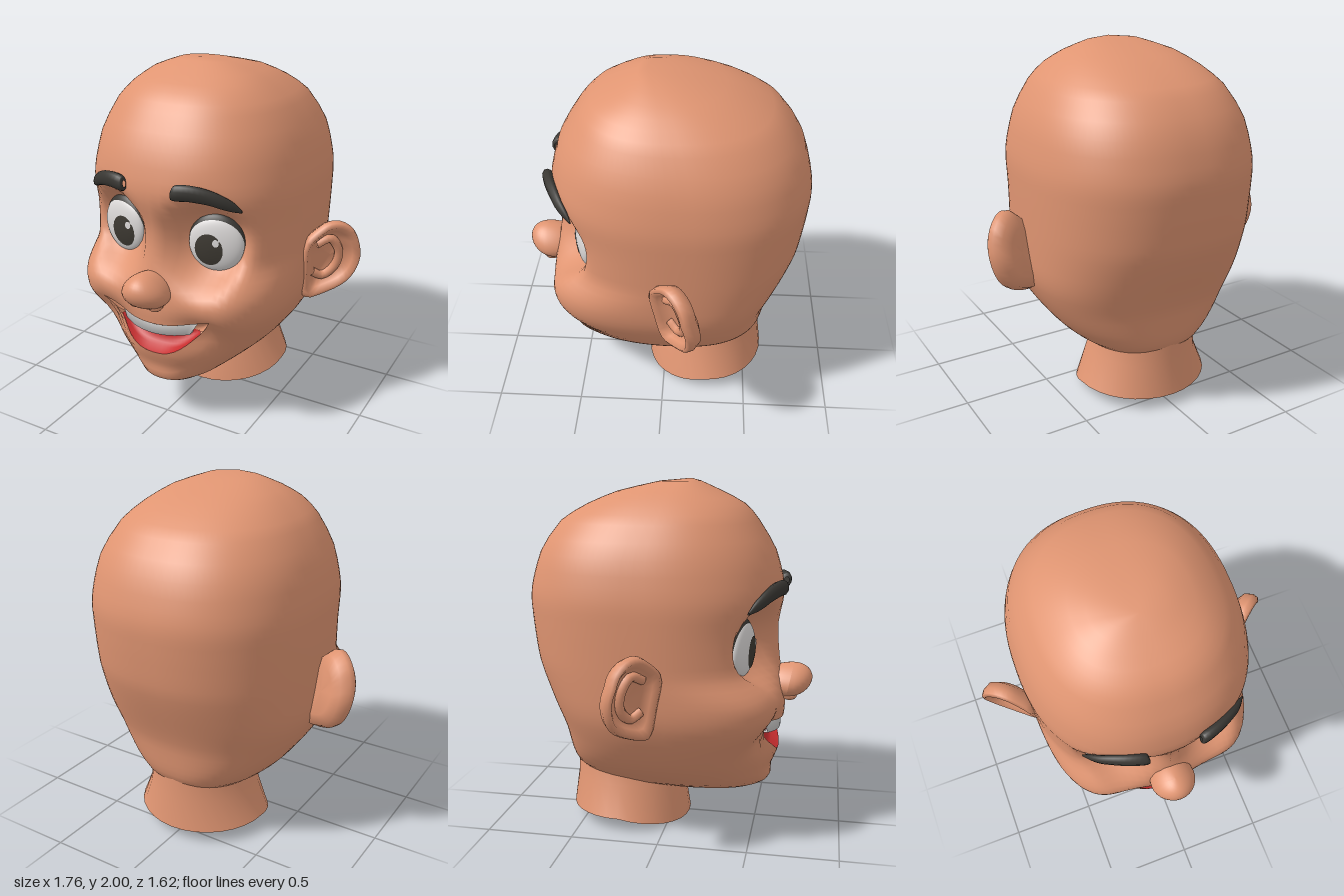
import * as THREE from 'three';
import { mergeGeometries, mergeVertices } from 'three/addons/utils/BufferGeometryUtils.js';

const material = (name, color) => new THREE.MeshStandardMaterial({ name, color, side: THREE.DoubleSide });
const V = (x, y, z) => new THREE.Vector3(x, y, z);
const N = 2.35; // roundness of the head's horizontal sections
const COLS = 96;
const MOUTH = Math.PI / 6; // angle from the face centre to a mouth corner

// Head sections: y, half width, front z, z of the widest point, back z
const SECTIONS = [
  [2.0, 0, 0.1, 0.1, 0.1], [1.985, 0.16, 0.15, 0.05, -0.08], [1.93, 0.31, 0.27, 0, -0.32],
  [1.86, 0.41, 0.41, -0.03, -0.49], [1.77, 0.505, 0.485, -0.06, -0.645], [1.6, 0.595, 0.59, -0.1, -0.755],
  [1.38, 0.64, 0.645, -0.1, -0.815], [1.2, 0.638, 0.605, -0.1, -0.8], [1.0, 0.633, 0.62, -0.1, -0.775],
  [0.85, 0.627, 0.645, -0.1, -0.72], [0.73, 0.618, 0.665, -0.1, -0.67], [0.6, 0.565, 0.65, -0.1, -0.62],
  [0.45, 0.475, 0.635, -0.1, -0.605], [0.36, 0.385, 0.585, -0.08, -0.585], [0.27, 0.27, 0.59, -0.02, -0.5],
  [0.22, 0.17, 0.5, 0.1, -0.25], [0.18, 0.08, 0.25, 0.1, 0], [0.17, 0, 0.1, 0.1, 0.1],
];

function rawSection(y) {
  let i = 0;
  while (i < SECTIONS.length - 2 && y < SECTIONS[i + 1][0]) i++;
  const a = SECTIONS[i], b = SECTIONS[i + 1];
  const f = THREE.MathUtils.clamp((a[0] - y) / (a[0] - b[0]), 0, 1);
  return a.map((v, k) => v + (b[k] - v) * f);
}

// Section softened over its neighbours
function section(y) {
  const d = Math.max(0, Math.min(0.06, (2 - y) * 0.2, (y - 0.17) * 0.2));
  const up = rawSection(y + d), low = rawSection(y - d);
  return rawSection(y).map((v, k) => (up[k] + 2 * v + low[k]) / 4);
}

// Eye sockets and mouth sides go in, cheeks come out
function relief(x, y) {
  const ax = Math.abs(x);
  const bump = (cx, cy, rx, ry) => ((ax - cx) / rx) ** 2 + ((y - cy) / ry) ** 2;
  const socket = bump(0.28, 1.11, ax > 0.28 ? 0.165 : 0.19, 0.22);
  return -0.175 * Math.exp(-socket * socket) + 0.02 * Math.exp(-bump(0.44, 0.81, 0.15, 0.14))
    - 0.075 * Math.exp(-bump(0.28, 0.61, 0.14, 0.12));
}

// Front of the face, squarer at the cheeks
function faceZ(x, y) {
  const [, w, front, mid] = section(y);
  const { smoothstep } = THREE.MathUtils;
  const n = N + 1.05 * smoothstep(y, 0.42, 0.75) * (1 - smoothstep(y, 0.8, 1.0));
  const q = w > 0 ? Math.max(0, 1 - Math.abs(x / w) ** n) : 0;
  return mid + (front - mid) * q ** (1 / n) + relief(x, y) * Math.min(1, 2.5 * Math.sqrt(q));
}

function headPoint(angle, y) {
  const [, w, , mid, back] = section(y);
  const s = Math.sin(angle), c = Math.cos(angle);
  const x = w * Math.sign(s) * Math.abs(s) ** (2 / N);
  return V(x, y, c > 0 ? faceZ(x, y) : mid - (mid - back) * Math.abs(c) ** (2 / N));
}

// Skin over a list of rings with equal point counts
function loft(rings, closed = true) {
  const n = rings[0].length, index = [];
  for (let i = 0; i < rings.length - 1; i++) {
    for (let j = 0; j < (closed ? n : n - 1); j++) {
      const k = (j + 1) % n, a = i * n + j, b = i * n + k, c = b + n, d = a + n;
      index.push(a, d, c, a, c, b);
    }
  }
  const geo = new THREE.BufferGeometry().setFromPoints(rings.flat());
  geo.setIndex(index);
  geo.computeVertexNormals();
  return geo;
}

function mirror(geo) {
  const m = geo.clone().scale(-1, 1, 1), a = m.index.array;
  for (let i = 0; i < a.length; i += 3) [a[i], a[i + 1]] = [a[i + 1], a[i]];
  m.computeVertexNormals();
  return m;
}

// Lip lines, t = 0 at the centre and 1 at the corners
const lip = (t, upper) => {
  if (t > 1) return 0.6 + 0.12 * (1 - THREE.MathUtils.smoothstep(t, 1, 2.2));
  return upper ? 0.655 + 0.065 * t * t : 0.46 + 0.26 * t ** 2.3;
};

function headRing(row, upper) {
  return Array.from({ length: COLS }, (_, j) => {
    let a = (j / COLS) * Math.PI * 2;
    if (a > Math.PI) a -= Math.PI * 2;
    const fade = Math.max(0, 1 - Math.abs(row - 0.6) / 0.35);
    return headPoint(a, row + (lip(Math.abs(a) / MOUTH, upper) - 0.6) * fade);
  });
}

function headGeometry() {
  const top = [2, 1.985, 1.96, 1.93, 1.895, 1.86, 1.815, 1.77, 1.68, 1.6, 1.52, 1.45];
  for (let y = 1.4; y > 0.62; y -= 0.04) top.push(y);
  top.push(0.6);
  const low = [0.6, 0.56, 0.52, 0.48, 0.44, 0.4, 0.36, 0.315, 0.27, 0.245, 0.22, 0.2, 0.18, 0.17];
  const both = mergeGeometries([loft(top.map(y => headRing(y, true))), loft(low.map(y => headRing(y, false)))]);
  both.deleteAttribute('normal');
  const geo = mergeVertices(both, 1e-4);
  geo.computeVertexNormals();
  return geo;
}

// Hollow behind the lips, from the line high(t) down to low(t)
function mouthPatch(reach, high, low) {
  const rings = [];
  for (let i = 0; i <= 8; i++) {
    rings.push(Array.from({ length: 25 }, (_, j) => {
      const t = reach * (j / 12 - 1), at = Math.abs(t);
      const y = THREE.MathUtils.lerp(high(at), low(at), i / 8);
      const v = THREE.MathUtils.clamp((lip(at, true) - y) / (lip(at, true) - lip(at, false) + 1e-6), 0, 1);
      const p = headPoint(t * MOUTH, y);
      p.z -= 0.1 * Math.sqrt(Math.max(0, Math.sin(Math.PI * v))) * (1 - t * t);
      return p;
    }));
  }
  return loft(rings, false);
}

function teethGeometry() {
  // half width, y at the centre, y rise at the ends, inset
  const rows = [[0.265, 0.675, 0.03, 0.07], [0.265, 0.675, 0.03, 0.02], [0.205, 0.585, 0.015, 0.018], [0.2, 0.585, 0.015, 0.075]];
  return loft(rows.map(([w, y, rise, inset]) => Array.from({ length: 17 }, (_, j) => {
    const t = j / 8 - 1;
    return V(t * w, y + rise * t * t, faceZ(t * w, 0.65) - inset);
  })), false);
}

function browGeometry() {
  const path = new THREE.CatmullRomCurve3([V(0.143, 1.42, 0.018), V(0.152, 1.42, 0.04), V(0.24, 1.422, 0.044),
    V(0.34, 1.398, 0.038), V(0.415, 1.357, 0.028), V(0.458, 1.322, 0.007)]);
  return loft(path.getPoints(20).map(p => Array.from({ length: 10 }, (_, j) => {
    const a = (j / 10) * Math.PI * 2;
    return V(p.x + 0.15 * p.z * Math.cos(a), p.y + p.z * Math.cos(a), faceZ(p.x, p.y) + 0.018 + 0.75 * p.z * Math.sin(a));
  })));
}

// Ear plane: u runs outward and back, v is up, d is toward the front; the lobe leans back
const earPoint = (u, v, d) => V(0.62 + 0.75 * u + 0.6 * d, v, 0.035 - 0.62 * u + 0.75 * d + 0.26 * Math.min(0, v - 1));

function earGeometry() {
  const outline = new THREE.CatmullRomCurve3([[-0.03, 0.66], [0.1, 0.685], [0.23, 0.75], [0.3, 0.84], [0.33, 0.95],
    [0.3, 1.07], [0.22, 1.135], [0.14, 1.14], [0.07, 1.1], [0, 1.03], [-0.03, 0.85]].map(([u, v]) => V(u, v, 0)), true);
  const pts = outline.getPoints(32).slice(0, 32);
  const rings = [[0, -0.09], [0.6, -0.085], [0.9, -0.055], [1, -0.005], [0.97, 0.03], [0.86, 0.042], [0.73, 0.01], [0.58, -0.035], [0, -0.035]];
  return loft(rings.map(([s, d]) => pts.map(p => earPoint(0.16 + (p.x - 0.16) * s, 0.92 + (p.y - 0.92) * s, d))));
}

const earRidge = () => new THREE.TubeGeometry(new THREE.CatmullRomCurve3(
  [[0.08, 1.0], [0.16, 1.03], [0.21, 0.95], [0.18, 0.85], [0.1, 0.79], [0.04, 0.82]].map(([u, v]) => earPoint(u, v, -0.025))), 20, 0.026, 8);

// Rounded nose, wider toward the bottom and running back into the face
function noseGeometry() {
  const geo = new THREE.SphereGeometry(1, 28, 20), p = geo.attributes.position;
  for (let i = 0; i < p.count; i++) {
    const x = p.getX(i), y = p.getY(i), z = p.getZ(i);
    p.setXYZ(i, x * 0.128 * (1 - 0.25 * y), 0.865 + y * 0.1, 0.685 + z * (z > 0 ? 0.125 : 0.17) + 0.02 * y);
  }
  geo.computeVertexNormals();
  return geo;
}

// Disc lying on the front of the eyeball
const EYE = { x: 0.15, y: 0.155, z: 0.05 };
function eyeDisc(cx, cy, rx, ry, lift) {
  const geo = new THREE.RingGeometry(0.001, 1, 28, 4).scale(rx, ry, 1).translate(cx, cy, 0), p = geo.attributes.position;
  for (let i = 0; i < p.count; i++) {
    const q = 1 - (p.getX(i) / EYE.x) ** 2 - (p.getY(i) / EYE.y) ** 2;
    p.setZ(i, EYE.z * Math.sqrt(Math.max(0, q)) + lift);
  }
  geo.computeVertexNormals();
  return geo;
}

export function createModel() {
  const skin = material('skin', 0xe09572), white = material('eye white', 0xdcd9d8), enamel = material('tooth white', 0xcac9c8);
  const dark = material('brow black', 0x393733), iris = material('iris brown', 0x3d3932), red = material('tongue red', 0xc62d2e);
  const model = new THREE.Group();
  model.name = 'head bust';
  const add = (name, geo, mat, parent = model) => {
    const mesh = new THREE.Mesh(geo, mat);
    mesh.name = name;
    parent.add(mesh);
  };
  const pair = (name, geo, mat) => {
    add('left ' + name, geo, mat);
    add('right ' + name, mirror(geo), mat);
  };

  add('head', headGeometry(), skin);

  // Open neck, lower at the front
  const neckRing = (rx, rz, cz, yOf) => Array.from({ length: 32 }, (_, j) => {
    const a = (j / 32) * Math.PI * 2;
    return V(rx * Math.sin(a), yOf(Math.cos(a)), cz + rz * Math.cos(a));
  });
  add('neck', loft([
    neckRing(0.285, 0.3, -0.28, c => 0.39 - 0.08 * Math.max(0, c)),
    neckRing(0.31, 0.325, -0.262, () => 0.25),
    neckRing(0.388, 0.355, -0.255, c => 0.08 - (c > 0 ? 0.078 * c : 0.012 * c * c)),
  ]), skin);

  // Nose with its lower wings
  add('nose', noseGeometry(), skin);
  pair('nostril wing', new THREE.SphereGeometry(1, 14, 10).scale(0.04, 0.03, 0.045).translate(0.06, 0.787, 0.685), skin);

  // Mouth
  const lipUp = t => lip(t, true), lipLow = t => lip(t, false);
  add('tongue', mouthPatch(0.776, () => 0.605, lipLow), red);
  add('mouth roof', mouthPatch(1, lipUp, t => Math.max(0.605, lipLow(t))), skin);
  add('teeth', teethGeometry(), enamel);

  pair('eyebrow', browGeometry(), dark);
  pair('ear', earGeometry(), skin);
  pair('ear ridge', earRidge(), skin);

  // Eyes, turned slightly outward, each with a lid showing as a crescent above
  for (const s of [1, -1]) {
    const eye = new THREE.Group();
    eye.name = s > 0 ? 'left eye' : 'right eye';
    eye.position.set(s * 0.29, 1.1, 0.437);
    eye.rotation.y = s * 0.24;
    model.add(eye);
    add('eyeball', new THREE.SphereGeometry(1, 56, 40).scale(EYE.x, EYE.y, EYE.z), white, eye);
    add('iris', eyeDisc(-s * 0.032, -0.022, 0.078, 0.089, 0.003), iris, eye);
    add('highlight', eyeDisc(-s * 0.032 + 0.04, 0.022, 0.018, 0.021, 0.006), white, eye);
    add('small highlight', eyeDisc(-s * 0.032 + 0.062, 0.042, 0.009, 0.011, 0.006), white, eye);
    add('upper eyelid', new THREE.SphereGeometry(1, 56, 40).scale(0.152, 0.156, 0.055).translate(0, 0.014, -0.011), dark, eye);
  }
  return model;
}
